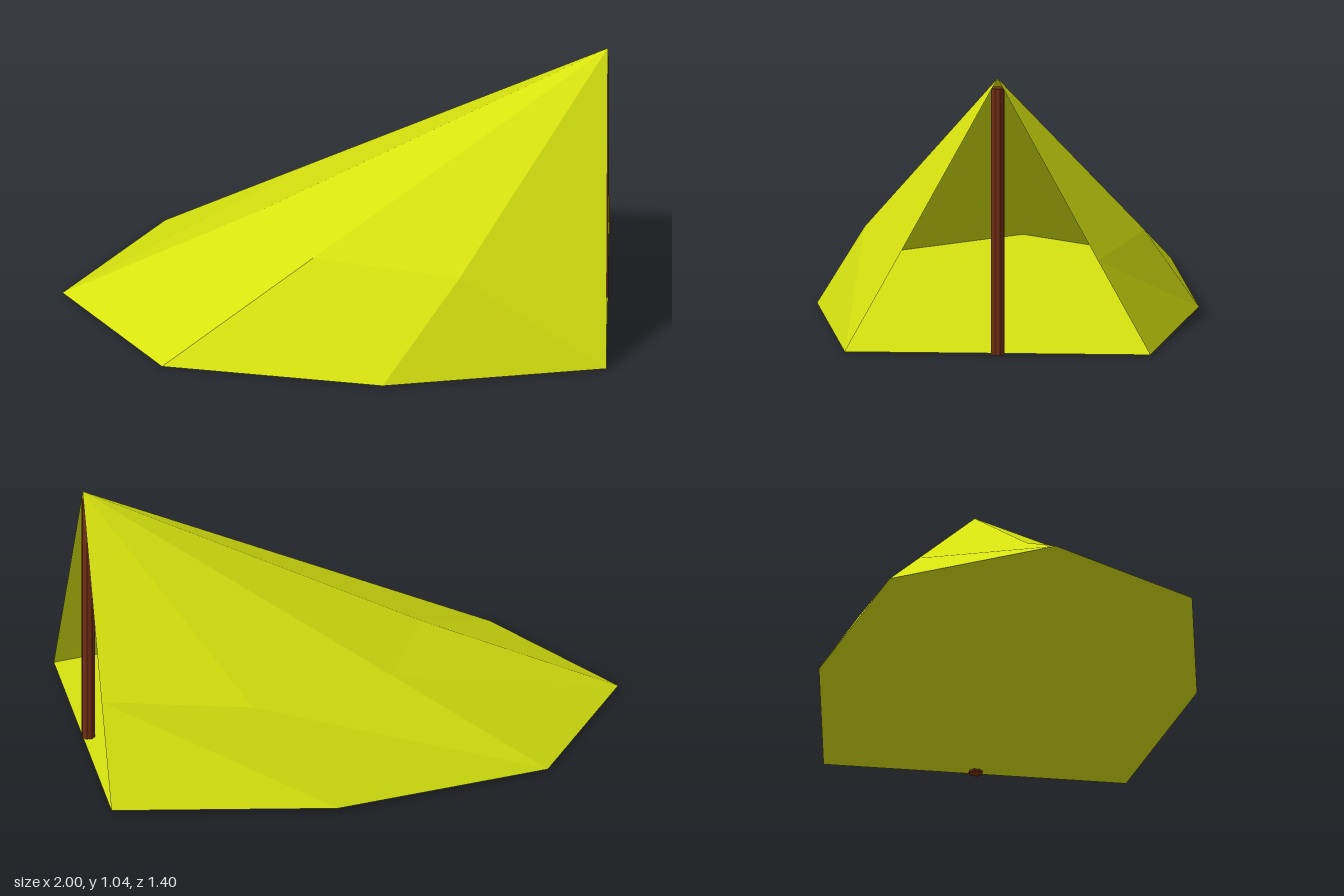
import * as THREE from 'three';

const canvas = new THREE.MeshStandardMaterial({ color: 0xd6e20f, flatShading: true, side: THREE.DoubleSide });
canvas.name = 'yellowCanvas';
const wood = new THREE.MeshStandardMaterial({ color: 0x702e14, flatShading: true });
wood.name = 'brownWood';

// Flat-shaded mesh from a list of [a, b, c] triangles
function facetMesh(name, triangles) {
  const geometry = new THREE.BufferGeometry().setFromPoints(triangles.flat());
  geometry.computeVertexNormals();
  const mesh = new THREE.Mesh(geometry, canvas);
  mesh.name = name;
  return mesh;
}

// Half outline from the doorway to the tail, mirrored across z = 0
function outline(half, y) {
  const mirrored = half.slice(0, -1).reverse().map(([x, z]) => [x, -z]);
  return [...half, ...mirrored].map(([x, z]) => new THREE.Vector3(x, y, z));
}

export function createModel() {
  const tent = new THREE.Group();
  tent.name = 'tent';

  const base = outline([[0.997, 0.56], [0.18, 0.7], [-0.63, 0.56], [-1, 0]], 0.008);
  const middle = outline([[0.997, 0.369], [0.46, 0.513], [-0.08, 0.369], [-0.27, 0]], 0.358);
  const apex = new THREE.Vector3(0.997, 1.04, 0);

  // Walls: lower quads and upper triangles, open at the doorway
  const lower = [], upper = [];
  for (let i = 0; i < base.length - 1; i++) {
    lower.push([base[i], middle[i], middle[i + 1]], [base[i], middle[i + 1], base[i + 1]]);
    upper.push([middle[i], apex, middle[i + 1]]);
  }
  tent.add(facetMesh('lowerWalls', lower), facetMesh('upperWalls', upper));

  // Groundsheet
  const floor = [];
  for (let i = 1; i < base.length - 1; i++) floor.push([base[0], base[i], base[i + 1]]);
  tent.add(facetMesh('groundsheet', floor));

  // Pole standing in the doorway
  const pole = new THREE.Mesh(new THREE.CylinderGeometry(0.026, 0.026, 1, 8).rotateY(Math.PI / 8), wood);
  pole.name = 'pole';
  pole.position.set(0.976, 0.5, 0);
  tent.add(pole);

  return tent;
}
